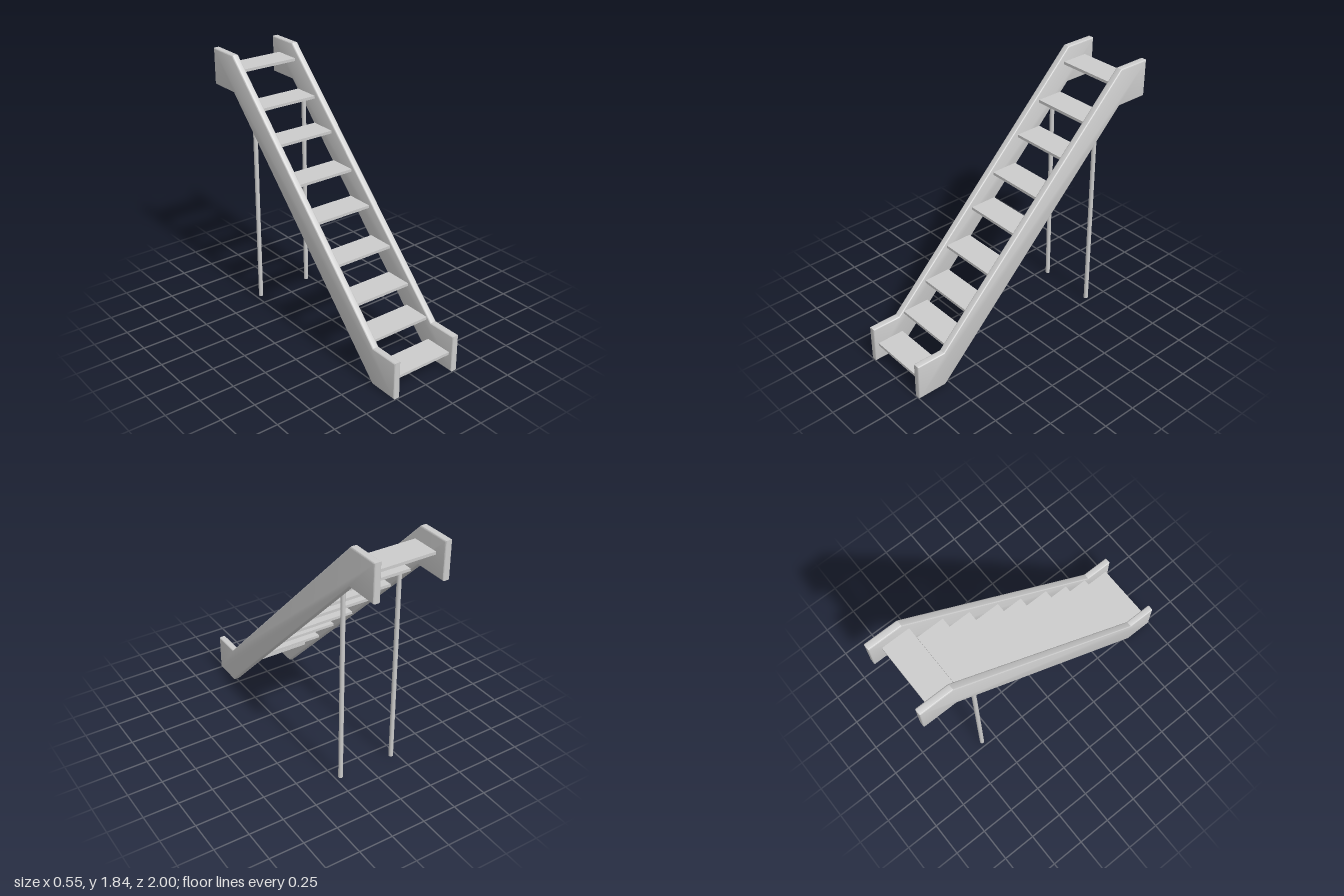
import * as THREE from 'three';
import { toCreasedNormals } from 'three/addons/utils/BufferGeometryUtils.js';

export function createModel() {
  const group = new THREE.Group();
  group.name = 'staircase';
  const material = new THREE.MeshStandardMaterial({ color: 0xcccccc });

  const add = (name, geometry, x, y, z) => {
    const mesh = new THREE.Mesh(geometry, material);
    mesh.name = name;
    mesh.position.set(x, y, z);
    group.add(mesh);
  };

  // Stringer side profile as (z, y), with level ends and softly rounded edges
  const profile = [
    [1, 0.005], [1, 0.275], [0.785, 0.275], [-0.76, 1.84],
    [-1, 1.84], [-1, 1.575], [-0.76, 1.575], [0.785, 0.005],
  ];
  const shape = new THREE.Shape(profile.map(([z, y]) => new THREE.Vector2(z, y)));
  const width = 0.05, bevel = 0.009;
  const extruded = new THREE.ExtrudeGeometry(shape, {
    depth: width - 2 * bevel,
    bevelThickness: bevel,
    bevelSize: bevel,
    bevelOffset: -bevel,
    bevelSegments: 3,
  });
  extruded.translate(0, 0, bevel - width / 2);
  extruded.rotateY(-Math.PI / 2);
  const stringer = toCreasedNormals(extruded, 0.6);

  // Round support post, running up to the underside of the eighth tread
  const postHeight = 1.5;
  const post = new THREE.CylinderGeometry(0.016, 0.016, postHeight, 20);

  for (const [side, s] of [['left', 1], ['right', -1]]) {
    add(side + 'Stringer', stringer, s * 0.25, 0, 0);
    add(side + 'Post', post, s * 0.21, postHeight / 2, -0.602);
  }

  // Treads: centre z and top height
  const treads = [
    [0.87, 0.145], [0.645, 0.305], [0.45, 0.475], [0.255, 0.68], [0.025, 0.897],
    [-0.17, 1.102], [-0.395, 1.317], [-0.59, 1.52], [-0.82, 1.738],
  ];
  const thickness = 0.02;
  const tread = new THREE.BoxGeometry(0.46, thickness, 0.2);
  treads.forEach(([z, top], i) => add('tread' + (i + 1), tread, 0, top - thickness / 2, z));

  return group;
}
